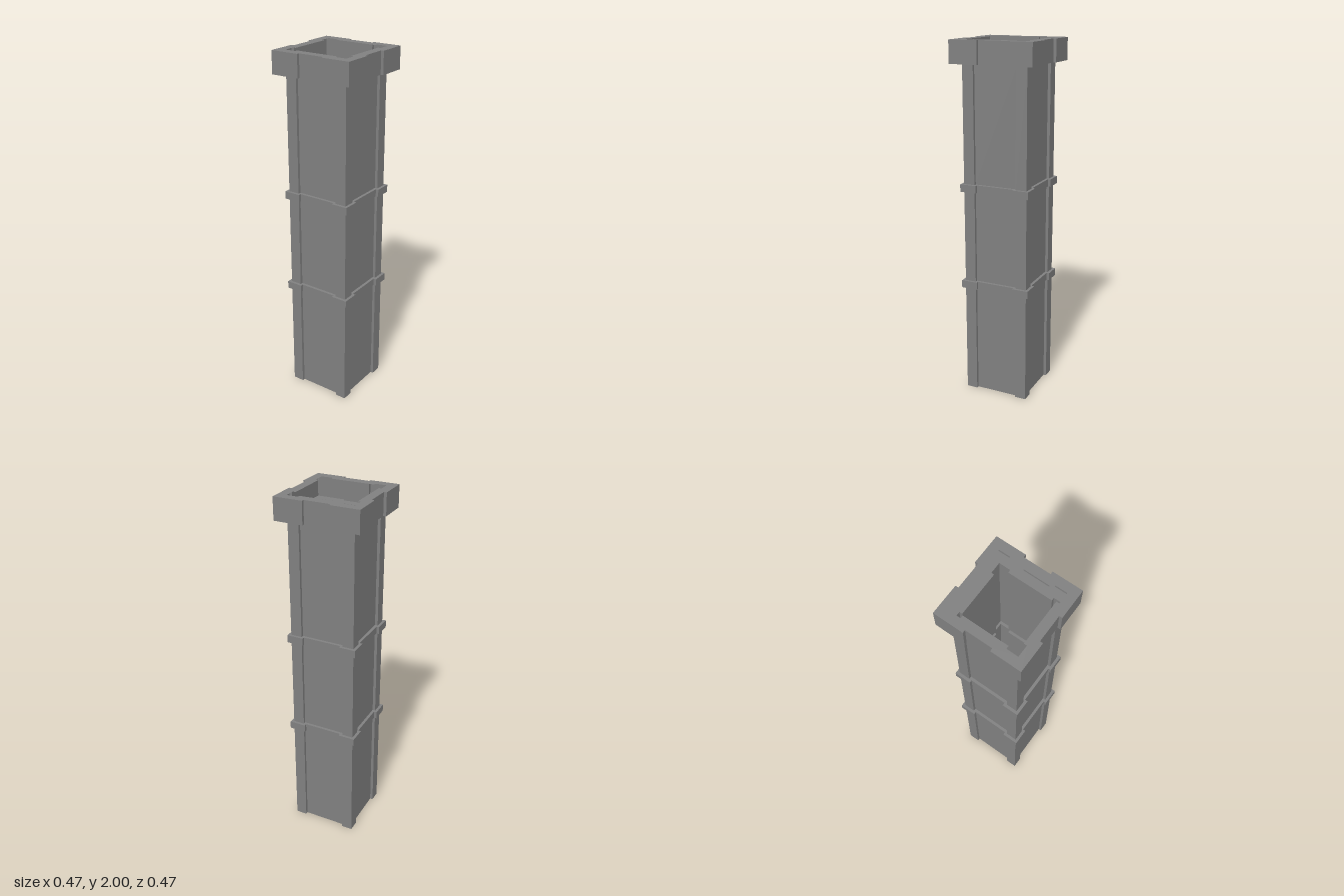
import * as THREE from 'three';

const stone = new THREE.MeshStandardMaterial({ color: 0x808080, flatShading: true, side: THREE.DoubleSide });

// Square outline whose sides step inward between the corner piers.
// outer: pier half width, inner: recessed half width, step: half length of the recess
function outline(outer, inner, step) {
  const side = [[outer, -outer], [outer, -step], [inner, -step], [inner, step], [outer, step]];
  const points = [];
  for (let i = 0; i < 4; i++) {
    for (const [x, y] of side) {
      points.push(new THREE.Vector2(x, y).rotateAround(new THREE.Vector2(), i * Math.PI / 2));
    }
  }
  return points;
}

// Open vertical sheet following an outline
function wallSheet(points, y0, y1) {
  const pos = [];
  points.forEach((p, i) => {
    const q = points[(i + 1) % points.length];
    const a = [p.x, y0, -p.y], b = [q.x, y0, -q.y];
    const c = [q.x, y1, -q.y], d = [p.x, y1, -p.y];
    pos.push(...a, ...b, ...c, ...a, ...c, ...d);
  });
  const geometry = new THREE.BufferGeometry();
  geometry.setAttribute('position', new THREE.Float32BufferAttribute(pos, 3));
  geometry.computeVertexNormals();
  return geometry;
}

// Flat ring between an outline and a hole, facing up or down
function flatRing(points, hole, y, up) {
  const shape = new THREE.Shape(up ? points : points.map((p) => new THREE.Vector2(p.x, -p.y)));
  shape.holes.push(new THREE.Path(hole));
  return new THREE.ShapeGeometry(shape).rotateX(up ? -Math.PI / 2 : Math.PI / 2).translate(0, y, 0);
}

export function createModel() {
  const tower = new THREE.Group();
  tower.name = 'tower';

  const add = (parent, name, geometry) => {
    const mesh = new THREE.Mesh(geometry, stone);
    mesh.name = name;
    parent.add(mesh);
  };

  const shaft = outline(0.186, 0.17, 0.123);
  const band = outline(0.202, 0.186, 0.108);
  const parapet = outline(0.236, 0.22, 0.073);

  // Hollow shaft in three lengths, open at both ends
  for (const [name, y0, y1] of [
    ['lowerShaft', 0, 0.63], ['middleShaft', 0.672, 1.19], ['upperShaft', 1.232, 1.877],
  ]) add(tower, name, wallSheet(shaft, y0, y1));

  // String courses and overhanging parapet: hollow shells open to the shaft
  for (const [name, points, y0, y1] of [
    ['lowerBand', band, 0.63, 0.672], ['upperBand', band, 1.19, 1.232], ['parapet', parapet, 1.877, 2],
  ]) {
    const course = new THREE.Group();
    course.name = name;
    add(course, 'outerWall', wallSheet(points, y0, y1));
    add(course, 'underside', flatRing(points, shaft, y0, false));
    add(course, 'topFace', flatRing(points, shaft, y1, true));
    tower.add(course);
  }

  return tower;
}
